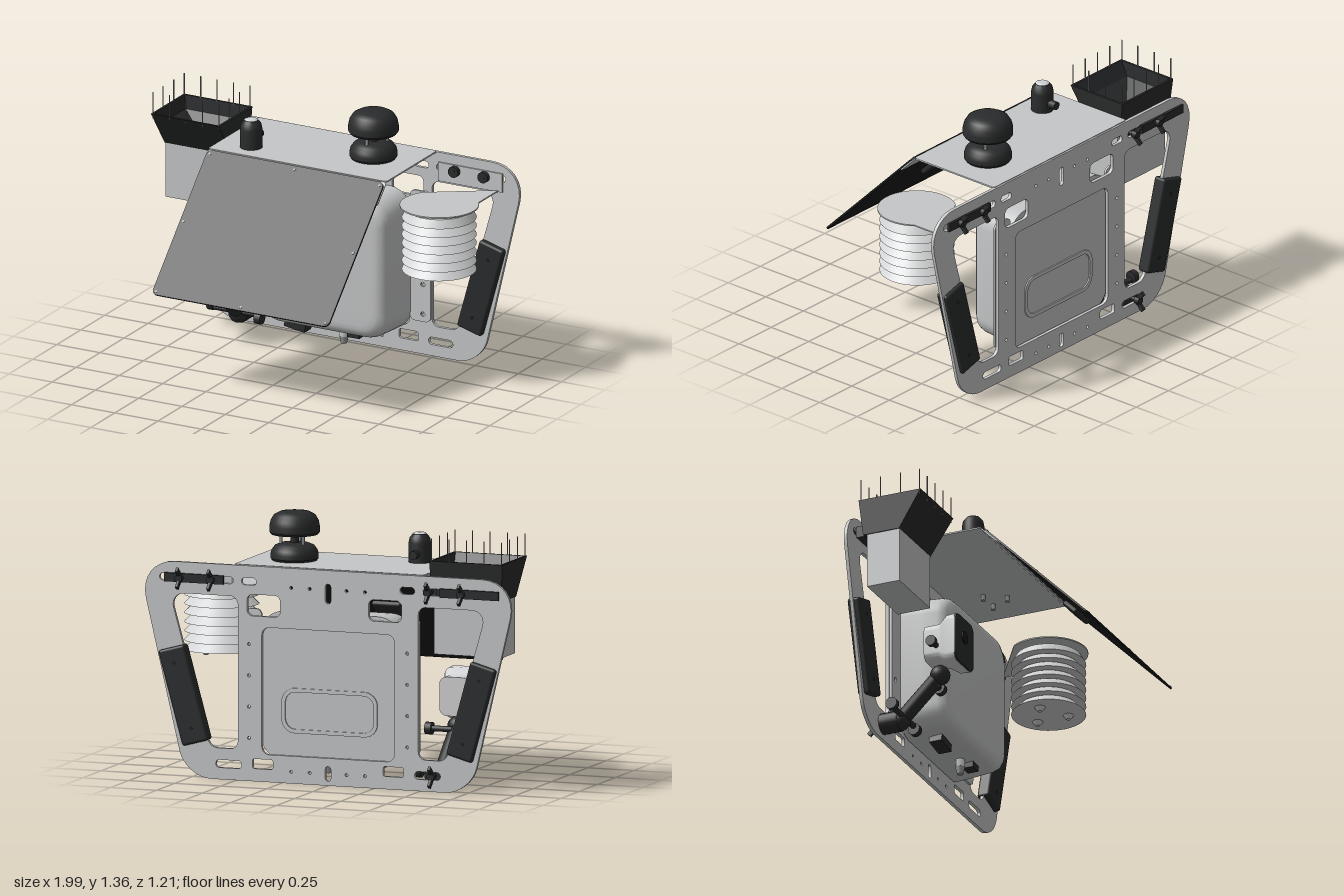
import * as THREE from 'three';
import { toCreasedNormals } from 'three/addons/utils/BufferGeometryUtils.js';
import { RoundedBoxGeometry } from 'three/addons/geometries/RoundedBoxGeometry.js';

const mat = (name, color, side = THREE.FrontSide) => {
  const m = new THREE.MeshStandardMaterial({ color, side });
  m.name = name;
  return m;
};
const V = (x, y) => new THREE.Vector2(x, y);

// closed outline with rounded corners, pts = [x, y, radius]
function outline(pts, Type = THREE.Shape) {
  const s = new Type();
  pts.forEach(([x, y, r], i) => {
    const p = V(x, y), a = pts.at(i - 1), b = pts[(i + 1) % pts.length];
    const toA = V(a[0], a[1]).sub(p).setLength(r).add(p);
    const toB = V(b[0], b[1]).sub(p).setLength(r).add(p);
    i ? s.lineTo(toA.x, toA.y) : s.moveTo(toA.x, toA.y);
    const k = 0.55;
    const c1 = toA.clone().lerp(p, k), c2 = toB.clone().lerp(p, k);
    s.bezierCurveTo(c1.x, c1.y, c2.x, c2.y, toB.x, toB.y);
  });
  s.closePath();
  return s;
}
const rect = (cx, cy, w, h, r, Type) => outline([
  [cx - w / 2, cy - h / 2, r], [cx + w / 2, cy - h / 2, r],
  [cx + w / 2, cy + h / 2, r], [cx - w / 2, cy + h / 2, r]], Type);

// skin through equal-length loops of Vector3, capped at both ends
function loft(loops, crease = 0.7) {
  const n = loops[0].length, pos = [], idx = [];
  loops.forEach(l => l.forEach(p => pos.push(p.x, p.y, p.z)));
  for (let k = 0; k < loops.length - 1; k++) for (let i = 0; i < n; i++) {
    const a = k * n + i, b = k * n + (i + 1) % n;
    idx.push(a, b, b + n, a, b + n, a + n);
  }
  const last = (loops.length - 1) * n;
  for (let i = 1; i < n - 1; i++) idx.push(0, i + 1, i, last, last + i, last + i + 1);
  const g = new THREE.BufferGeometry();
  g.setAttribute('position', new THREE.Float32BufferAttribute(pos, 3));
  g.setIndex(idx);
  return toCreasedNormals(g, crease);
}
const rectLoop = (cx, cy, w, h, r, z) => {
  const pts = rect(cx, cy, w, h, r).getPoints(8);
  const clean = pts.filter((p, i) => i === 0 || p.distanceTo(pts[i - 1]) > 1e-6);
  if (clean[0].distanceTo(clean.at(-1)) < 1e-6) clean.pop();
  return clean.map(p => new THREE.Vector3(p.x, p.y, z));
};

export function createModel() {
  const grey = mat('light grey metal', 0xc6c7c8);
  const white = mat('pale plastic', 0xd2d3d4);
  const black = mat('black plastic', 0x2a2b2c);
  const panelBlack = mat('solar black', 0x1b1b1c);
  const steel = mat('steel', 0x9a9b9c);
  const root = new THREE.Group();
  const add = (name, geo, m, x = 0, y = 0, z = 0, parent = root) => {
    const mesh = new THREE.Mesh(geo, m);
    mesh.name = name;
    mesh.position.set(x, y, z);
    parent.add(mesh);
    return mesh;
  };
  const extrude = (s, depth) => toCreasedNormals(
    new THREE.ExtrudeGeometry(s, { depth, bevelEnabled: false, curveSegments: 8 }), 0.5);
  const box = (w, h, d) => new THREE.BoxGeometry(w, h, d);
  const cyl = (r0, r1, h, n = 24) => new THREE.CylinderGeometry(r0, r1, h, n);
  const cylX = (r, h) => cyl(r, r, h, 16).rotateZ(Math.PI / 2);
  const cylZ = (r, h) => cyl(r, r, h, 16).rotateX(Math.PI / 2);

  // back plate with handle openings, centre window and slots
  const plate = outline([[-0.775, 0, 0.14], [0.775, 0, 0.14], [1.035, 1.1, 0.2], [-1.035, 1.1, 0.2]]);
  const hole = (...a) => plate.holes.push(rect(...a, THREE.Path));
  for (const s of [-1, 1]) {
    plate.holes.push(outline([[s * 0.49, 0.16, 0.04], [s * 0.64, 0.16, 0.04],
      [s * 0.86, 0.94, 0.08], [s * 0.49, 0.94, 0.04]], THREE.Path));
    hole(s * 0.355, 0.09, 0.11, 0.05, 0.01);
    hole(s * 0.54, 0.08, 0.14, 0.04, 0.019);
    hole(s * 0.715, 1.02, 0.4, 0.036, 0.017);
    hole(s * 0.43, 1.02, 0.08, 0.036, 0.017);
    for (const y of [0.22, 0.38, 0.54, 0.7]) hole(s * 0.43, y, 0.016, 0.016, 0.007);
  }
  hole(0, 0.465, 0.72, 0.65, 0.04);
  hole(0.35, 0.9, 0.18, 0.11, 0.03);
  hole(-0.31, 0.91, 0.18, 0.11, 0.03);
  hole(0, 0.98, 0.03, 0.1, 0.014);
  hole(0, 0.06, 0.03, 0.075, 0.014);
  for (const x of [-0.2, -0.1, 0.1, 0.2]) { hole(x, 0.06, 0.016, 0.016, 0.007); hole(x, 1.0, 0.016, 0.016, 0.007); }
  add('backPlate', extrude(plate, 0.018), grey, 0, 0, -0.54);

  // hand grips
  for (const s of [-1, 1]) {
    const grip = add('handGrip', new RoundedBoxGeometry(0.145, 0.5, 0.07, 3, 0.014), black, s * 0.782, 0.42, -0.525);
    grip.rotation.z = -s * 0.27;
    for (const y of [-0.17, 0.17]) add('gripScrew', cylZ(0.01, 0.072), panelBlack, 0, y, 0, grip);
  }

  // main housing with rounded front
  const shell = [[-0.515, -0.005], [-0.4, 0], [-0.31, 0.006], [-0.28, 0.014], [-0.262, 0.03], [-0.252, 0.055], [-0.25, 0.08]];
  add('housing', loft(shell.map(([z, i]) =>
    rectLoop(-0.005, 0.495, 0.75 - 2 * i, 0.75 - 2 * i, 0.12 - i * 0.5, z))), grey);
  const tray = rect(0, 0.37, 0.52, 0.23, 0.07);
  tray.holes.push(rect(0, 0.37, 0.48, 0.19, 0.055, THREE.Path));
  add('housingBackRim', extrude(tray, 0.008), grey, 0, 0, -0.522);
  for (const s of [-1, 1]) {
    const tab = rect(s * 0.43, 0.53, 0.12, 0.7, 0.03);
    for (const y of [0.22, 0.38, 0.82]) tab.holes.push(rect(s * 0.445, y, 0.024, 0.024, 0.011, THREE.Path));
    add('housingFlange', extrude(tab, 0.012), grey, 0, 0, -0.518);
  }
  // connectors under the housing
  for (const [x, z, r] of [[0.06, -0.38, 0.026], [-0.57, -0.22, 0.028]]) {
    const y = x > 0 ? 0.08 : 0.27;
    add('cableGland', cyl(r, r, 0.04, 6), white, x, y + 0.02, z);
    add('cableGlandNut', cyl(r * 0.95, r * 0.6, 0.04, 16), steel, x, y - 0.02, z);
  }
  add('vent', box(0.12, 0.04, 0.07), black, -0.2, 0.1, -0.37).rotation.z = -0.15;
  add('connectorCap', box(0.07, 0.03, 0.06), black, 0.14, 0.11, -0.36);

  // roof and sloped solar panel
  add('roof', extrude(rect(0, 0.265, 1.03, 0.53, 0.015), 0.008).rotateX(-Math.PI / 2), grey, 0, 1.096, 0);
  const slope = new THREE.Group();
  slope.name = 'solarPanel';
  slope.position.set(0, 1.102, 0);
  slope.rotation.x = Math.PI / 4;
  root.add(slope);
  const flat = (w, l, r, d) => extrude(rect(0, -l / 2, w, l, r), d).rotateX(-Math.PI / 2);
  add('panelSupport', flat(1.03, 0.14, 0.02, 0.006), grey, 0, -0.008, 0, slope);
  add('panel', flat(1.02, 0.835, 0.03, 0.01), panelBlack, 0, -0.002, 0.008, slope);
  add('junctionBox', new RoundedBoxGeometry(0.16, 0.03, 0.1, 2, 0.012), black, 0, -0.015, 0.43, slope);
  for (const x of [-0.49, 0, 0.49]) for (const z of [0.03, 0.42, 0.825])
    if (x || z !== 0.42) add('panelScrew', cyl(0.007, 0.007, 0.003, 10), steel, x, 0.009, z, slope);

  // double-domed sensor
  const dome = (r, h) => new THREE.LatheGeometry([V(0, 0), V(r * 0.93, 0), V(r, 0.012), V(r, h * 0.35),
    V(r * 0.95, h * 0.6), V(r * 0.82, h * 0.83), V(r * 0.6, h * 0.96), V(r * 0.35, h), V(0, h)], 40);
  add('lowerDome', toCreasedNormals(dome(0.122, 0.09), 0.6), black, 0.28, 1.104, -0.29);
  add('upperDome', toCreasedNormals(dome(0.128, 0.118), 0.6), black, 0.28, 1.237, -0.29);
  add('domeStem', cyl(0.022, 0.022, 0.06), black, 0.28, 1.21, -0.29);
  for (let i = 0; i < 3; i++) {
    const a = i * Math.PI * 2 / 3, x = 0.28 + 0.07 * Math.sin(a), z = -0.29 + 0.07 * Math.cos(a);
    add('domePost', cyl(0.008, 0.008, 0.06, 10), steel, x, 1.21, z);
    add('domeBolt', cyl(0.013, 0.013, 0.03, 6), steel, x, 1.08, z);
  }

  // small beacon on the roof
  const beacon = [V(0, 0), V(0.057, 0), V(0.057, 0.1), V(0.052, 0.125), V(0.036, 0.145), V(0, 0.148)];
  add('beacon', toCreasedNormals(new THREE.LatheGeometry(beacon, 28), 0.6), black, -0.335, 1.104, -0.125);
  add('beaconTip', cyl(0.022, 0.034, 0.006), white, -0.335, 1.254, -0.125);
  add('beaconConnector', cylZ(0.022, 0.06), black, -0.335, 1.15, -0.19);

  // louvred radiation shield on its bracket
  const cx = 0.715, cz = -0.19, shelf = new THREE.Shape();
  shelf.moveTo(0.555, 0.52);
  shelf.absarc(cx, -cz, 0.2, 2.498, 0.6435 + Math.PI * 2, false);
  shelf.lineTo(0.875, 0.52);
  shelf.closePath();
  add('shieldBracket', toCreasedNormals(new THREE.ExtrudeGeometry(shelf, { depth: 0.007, bevelEnabled: false, curveSegments: 40 }), 0.5)
    .rotateX(-Math.PI / 2), grey, 0, 0.95, 0);
  add('bracketFlange', box(0.37, 0.1, 0.008), grey, cx, 1.0, -0.516);
  add('shieldCore', cyl(0.13, 0.13, 0.3), white, cx, 0.78, cz);
  for (let i = 0; i < 7; i++)
    add('shieldLouvre', toCreasedNormals(cyl(i ? 0.148 : 0.165, 0.19, 0.042, 40), 0.5), white, cx, 0.912 - i * 0.0465, cz);
  for (let i = 0; i < 3; i++) {
    const a = i * Math.PI * 2 / 3 + 0.5, x = cx + 0.1 * Math.sin(a), z = cz + 0.1 * Math.cos(a);
    add('shieldFoot', cyl(0.03, 0.012, 0.025, 12), white, x, 0.602, z);
    add('shieldSpacer', cyl(0.014, 0.014, 0.03, 12), steel, x, 0.94, z);
  }

  // rain collector: tapered black hopper with spikes over a grey body
  const ring = (x0, x1, z0, z1, y) => [[x0, z1], [x1, z1], [x1, z0], [x0, z0]].map(([x, z]) => new THREE.Vector3(x, y, z));
  add('collectorHopper', loft([
    ring(-0.915, -0.535, -0.47, -0.27, 0.98), ring(-0.925, -0.53, -0.49, -0.145, 1.172),
    ring(-0.913, -0.542, -0.478, -0.157, 1.172), ring(-0.905, -0.55, -0.47, -0.2, 1.1),
    ring(-0.76, -0.7, -0.38, -0.32, 1.0)], 0.2), black);
  add('collectorBody', box(0.37, 0.29, 0.18), grey, -0.725, 0.836, -0.36);
  add('collectorArm', box(0.3, 0.06, 0.06), black, -0.73, 1.02, -0.495);
  for (let i = 0; i < 5; i++) for (const z of i % 4 ? [-0.155, -0.48] : [-0.155, -0.26, -0.37, -0.48])
    add('birdSpike', cyl(0.003, 0.003, 0.14, 6), steel, -0.918 + i * 0.095, 1.215, z);

  // wing nuts and clamp strips
  for (const [x, y] of [[0.63, 1.02], [0.8, 1.02], [-0.73, 1.02], [-0.55, 1.02], [-0.57, 0.08]]) {
    const nut = new THREE.Group();
    nut.name = 'wingNut';
    nut.position.set(x, y, -0.54);
    root.add(nut);
    add('bolt', cylZ(0.012, 0.09), black, 0, 0, 0.01, nut);
    add('boltHead', cylZ(0.029, 0.025), black, 0, 0, 0.042, nut);
    add('hub', cylZ(0.02, 0.03), black, 0, 0, -0.022, nut);
    for (const s of [-1, 1]) add('wing', box(0.014, 0.024, 0.05), black, 0, s * 0.03, -0.038, nut).rotation.x = s * 0.8;
  }
  for (const x of [0.725, -0.77]) add('clampStrip', box(0.32, 0.045, 0.014), black, x, 1.02, -0.547);

  // camera with flared hood
  const hood = [[-0.25, 0.17, 0.2], [-0.17, 0.17, 0.2], [-0.145, 0.19, 0.23], [-0.12, 0.215, 0.26], [-0.07, 0.22, 0.265]];
  add('cameraHood', loft(hood.map(([z, w, h]) => rectLoop(-0.575, 0.445, w, h, 0.04, z))), white);
  add('cameraFace', extrude(rect(-0.575, 0.445, 0.216, 0.26, 0.04), 0.008), black, 0, 0, -0.07);
  add('cameraLens', cylZ(0.034, 0.008), panelBlack, -0.575, 0.47, -0.061);
  add('cameraKnob', cylX(0.014, 0.06), black, -0.69, 0.415, -0.18);
  add('cameraKnobHead', cylX(0.028, 0.025), black, -0.72, 0.415, -0.18);

  // ball-joint arm with clamp knobs
  const path = new THREE.LineCurve3(new THREE.Vector3(-0.57, 0.29, -0.2), new THREE.Vector3(-0.57, 0.08, -0.42));
  add('mountArm', new THREE.TubeGeometry(path, 1, 0.04, 12), black);
  for (const [y, z] of [[0.29, -0.2], [0.08, -0.42]]) add('ballJoint', new THREE.SphereGeometry(0.052, 20, 14), black, -0.57, y, z);
  add('mountBase', cylZ(0.055, 0.1), black, -0.57, 0.08, -0.47);
  add('upperKnob', cylX(0.015, 0.13), black, -0.5, 0.28, -0.26);
  add('upperKnobHead', cylX(0.032, 0.035), black, -0.44, 0.28, -0.26);
  add('lowerKnob', cylX(0.015, 0.3), black, -0.575, 0.095, -0.4);
  add('lowerKnobHeadRight', cylX(0.032, 0.03), black, -0.715, 0.11, -0.4);
  add('lowerKnobHeadLeft', cylX(0.032, 0.035), black, -0.44, 0.08, -0.4);

  return root;
}
